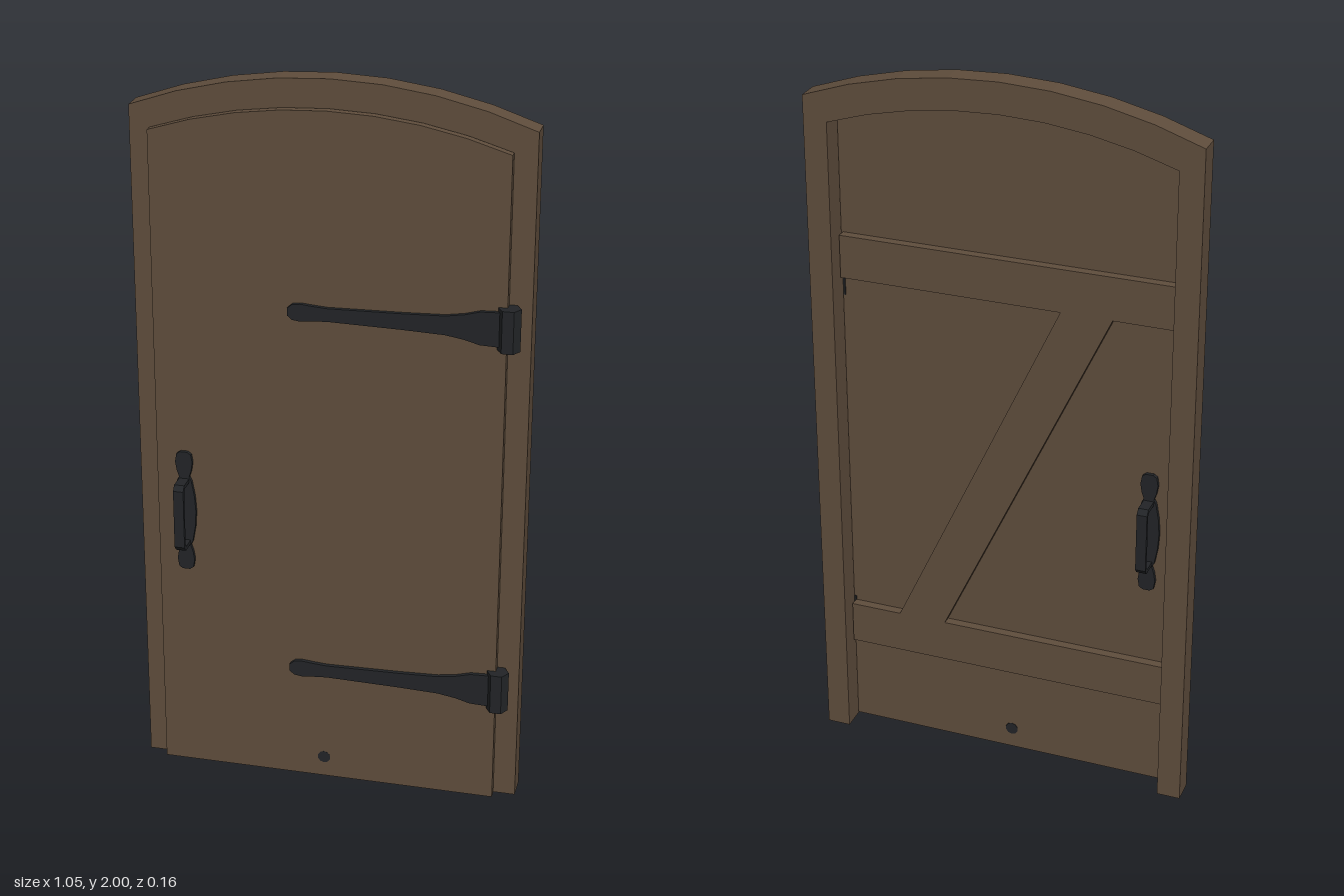
import * as THREE from 'three';

const wood = new THREE.MeshStandardMaterial({ color: 0x5f4d3c, flatShading: true });
wood.name = 'brown wood';
const iron = new THREE.MeshStandardMaterial({ color: 0x222427, flatShading: true });
iron.name = 'black iron';

function add(parent, name, geometry, material, x = 0, y = 0, z = 0) {
  const mesh = new THREE.Mesh(geometry, material);
  mesh.name = name;
  mesh.position.set(x, y, z);
  parent.add(mesh);
  return mesh;
}

// Points of a shallow arch from right to left, side height to crown height
function archPoints(half, side, crown, segments = 8) {
  const sag = crown - side;
  const radius = (half * half + sag * sag) / (2 * sag);
  const angle = Math.asin(half / radius);
  return Array.from({ length: segments + 1 }, (_, i) => {
    const a = angle * (1 - (2 * i) / segments);
    return new THREE.Vector2(radius * Math.sin(a), crown - radius + radius * Math.cos(a));
  });
}

const extrude = (points, depth) =>
  new THREE.ExtrudeGeometry(new THREE.Shape(points), { depth, bevelEnabled: false });

// Closed outline from [position along axis, half width], symmetric about the x axis
function symmetricOutline(profile) {
  const lower = profile.map(([x, w]) => new THREE.Vector2(x, -w));
  const upper = profile.map(([x, w]) => new THREE.Vector2(x, w)).reverse();
  return [...lower, ...upper];
}

// Strap hinge with a hexagonal barrel
function makeHinge(name, y) {
  const hinge = new THREE.Group();
  hinge.name = name;
  const strap = symmetricOutline([
    [-0.105, 0.01], [-0.092, 0.021], [-0.07, 0.024], [-0.04, 0.021], [0, 0.018],
    [0.2, 0.022], [0.31, 0.026], [0.36, 0.034], [0.4, 0.045], [0.45, 0.047],
  ]);
  add(hinge, 'hingeStrap', extrude(strap, 0.012), iron, 0, 0, 0.011);
  const barrel = add(hinge, 'hingeBarrel', new THREE.CylinderGeometry(0.03, 0.03, 0.115, 6), iron, 0.474, 0, 0.013);
  barrel.rotation.y = Math.PI / 6;
  hinge.position.y = y;
  return hinge;
}

// Pull handle: shaped backplate and a bent grip
function makeHandle(name) {
  const handle = new THREE.Group();
  handle.name = name;
  const plate = symmetricOutline([
    [-0.175, 0.01], [-0.168, 0.02], [-0.145, 0.024], [-0.12, 0.02], [-0.102, 0.014], [-0.09, 0.02],
    [-0.045, 0.028], [0, 0.031], [0.045, 0.028], [0.09, 0.02],
    [0.102, 0.014], [0.12, 0.02], [0.145, 0.024], [0.168, 0.02], [0.175, 0.01],
  ]);
  const plateMesh = add(handle, 'handlePlate', extrude(plate, 0.01), iron);
  plateMesh.rotation.z = Math.PI / 2;
  // Grip drawn in the z-y plane, then extruded across x
  const path = [
    [0, -0.097], [0.055, -0.097], [0.067, -0.083], [0.067, 0.083], [0.055, 0.097], [0, 0.097],
    [0, 0.086], [0.051, 0.086], [0.056, 0.079], [0.056, -0.079], [0.051, -0.086], [0, -0.086],
  ].map(([z, y]) => new THREE.Vector2(z, y));
  const grip = add(handle, 'handleGrip', extrude(path, 0.028), iron, 0.014, 0, 0);
  grip.rotation.y = -Math.PI / 2;
  return handle;
}

export function createModel() {
  const door = new THREE.Group();
  door.name = 'archedDoor';

  // Surround open at the bottom
  const outer = archPoints(0.5275, 1.9, 2.0);
  const inner = archPoints(0.463, 1.835, 1.916).reverse();
  const surround = [
    new THREE.Vector2(0.5275, 0), ...outer, new THREE.Vector2(-0.5275, 0),
    new THREE.Vector2(-0.463, 0), ...inner, new THREE.Vector2(0.463, 0),
  ];
  add(door, 'doorFrame', extrude(surround, 0.065), wood, 0, 0, -0.08);

  // Door leaf standing just in front of the surround
  const leaf = [new THREE.Vector2(-0.472, 0), new THREE.Vector2(0.468, 0), ...archPoints(0.47, 1.845, 1.925)
    .map((p) => new THREE.Vector2(p.x - 0.002, p.y))];
  add(door, 'doorPanel', extrude(leaf, 0.023), wood, 0, 0, -0.011);

  // Z-shaped bracing on the back
  for (const [name, y] of [['upperLedge', 1.45], ['lowerLedge', 0.325]]) {
    add(door, name, new THREE.BoxGeometry(0.92, 0.12, 0.026), wood, 0, y, -0.023);
  }
  const brace = [[0.18, 0.385], [0.315, 0.385], [-0.15, 1.39], [-0.29, 1.39]]
    .map(([x, y]) => new THREE.Vector2(x, y));
  add(door, 'diagonalBrace', extrude(brace, 0.025), wood, 0, 0, -0.036);

  // Ironwork
  door.add(makeHinge('upperHinge', 1.388), makeHinge('lowerHinge', 0.34));
  const front = makeHandle('frontHandle');
  front.position.set(-0.395, 0.785, 0.012);
  const back = makeHandle('backHandle');
  back.position.set(-0.395, 0.785, -0.011);
  back.rotation.y = Math.PI;
  door.add(front, back);

  // Small bolt through the foot of the leaf
  const bolt = add(door, 'footBolt', new THREE.CylinderGeometry(0.018, 0.018, 0.0245, 10), iron, -0.01, 0.06, 0);
  bolt.rotation.x = Math.PI / 2;
  return door;
}
